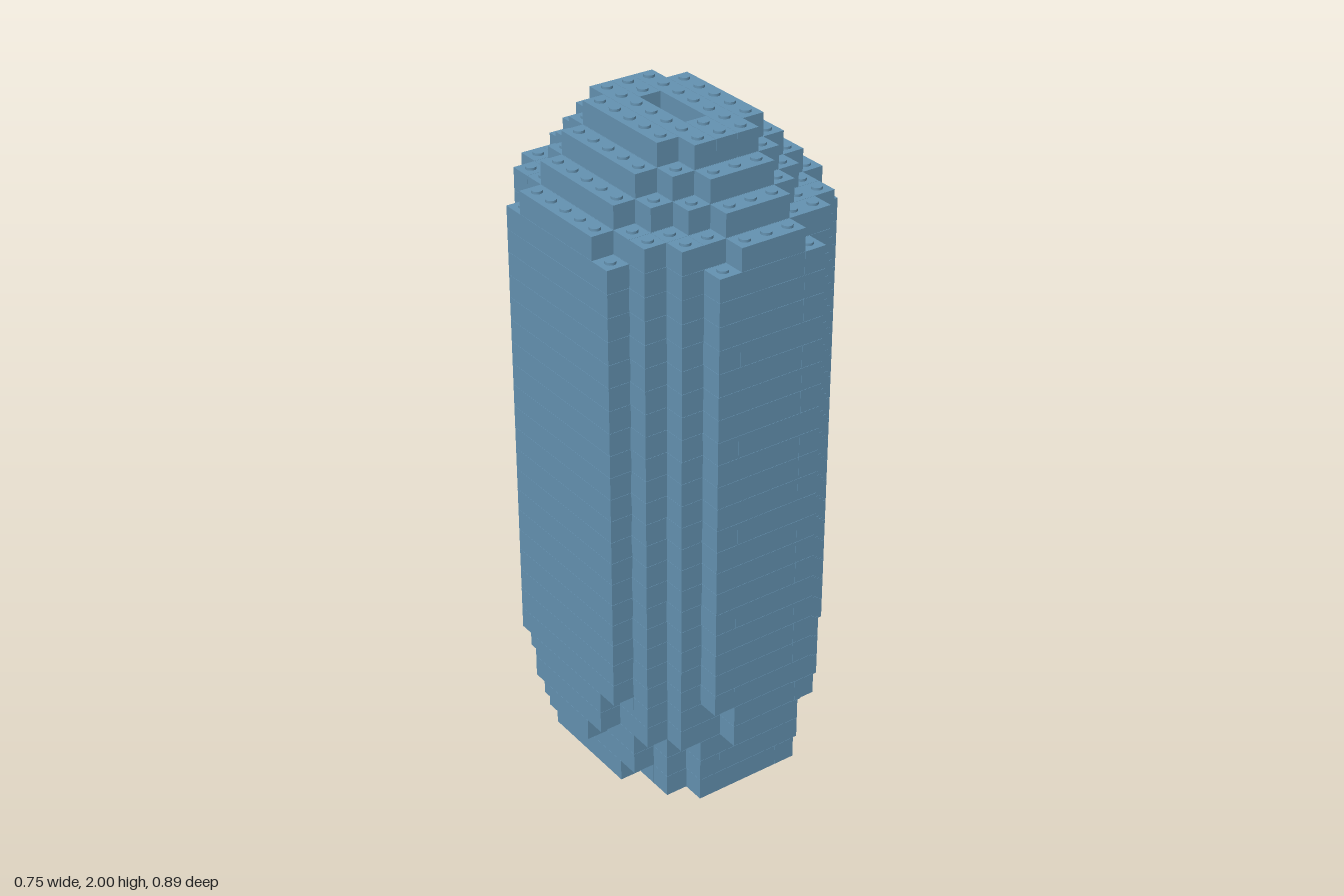
import * as THREE from 'three';
import { mergeGeometries } from 'three/addons/utils/BufferGeometryUtils.js';

const P = 0.0682, H = 0.0687, GAP = 0.0008, LAYERS = 29;

// Half-width in cells of each layer, indexed by the row's distance from the middle
const FULL = [5, 5, 5, 5, 4, 3, 2];
const SHOULDER = [5, 5, 5, 4, 4, 3, 1];
const SPECIAL = {
  0: [4, 4, 4, 3, 3, 2],
  1: [4, 4, 4, 4, 3, 2],
  2: [5, 5, 4, 4, 3, 2],
  3: SHOULDER,
  4: SHOULDER,
  25: SHOULDER,
  26: [4, 4, 4, 3, 2, 1],
  27: [3, 3, 3, 2, 1],
  28: [2, 2, 2, 1],
};

function solid(layer, x, z) {
  if (layer >= LAYERS) return false;
  if (layer === LAYERS - 1 && x === 0 && Math.abs(z) <= 1) return false; // slot in the top
  const w = (SPECIAL[layer] || FULL)[Math.abs(z)];
  return w !== undefined && Math.abs(x) <= w;
}

// One brick covering an inclusive range of cells
function brick(layer, x0, x1, z0, z1) {
  const g = new THREE.BoxGeometry((x1 - x0 + 1) * P - GAP, H - GAP, (z1 - z0 + 1) * P - GAP);
  return g.translate((x0 + x1) / 2 * P, (layer + 0.5) * H, (z0 + z1) / 2 * P);
}

function stud(layer, x, z) {
  const g = new THREE.CylinderGeometry(0.016, 0.016, 0.009, 16);
  return g.translate(x * P, (layer + 1) * H + 0.0025, z * P);
}

// Consecutive filled cells from -n to n as [start, end] pairs
function runs(n, filled) {
  const out = [];
  let start = null;
  for (let i = -n; i <= n + 1; i++) {
    const on = i <= n && filled(i);
    if (on && start === null) start = i;
    if (!on && start !== null) {
      out.push([start, i - 1]);
      start = null;
    }
  }
  return out;
}

export function createModel() {
  const blue = new THREE.MeshStandardMaterial({ color: 0x6492b1 });
  blue.name = 'dusty blue';
  const model = new THREE.Group();
  model.name = 'brickTower';

  for (let layer = 0; layer < LAYERS; layer++) {
    const bricks = [], studs = [];

    // Middle: bricks running front to back
    for (let x = -5; x <= 5; x++) {
      for (const [a, b] of runs(3, z => solid(layer, x, z))) bricks.push(brick(layer, x, x, a, b));
    }
    // Front and back rows: bricks running across, with staggered joints
    for (const z of [-6, -5, -4, 4, 5, 6]) {
      for (const [a, b] of runs(5, x => solid(layer, x, z))) {
        if (b - a < 4) bricks.push(brick(layer, a, b, z, z));
        else {
          const cut = layer % 4 === 1 ? a : b - 1;
          bricks.push(brick(layer, a, cut, z, z), brick(layer, cut + 1, b, z, z));
        }
      }
    }
    // Studs on uncovered cells
    for (let x = -5; x <= 5; x++) {
      for (let z = -6; z <= 6; z++) {
        if (solid(layer, x, z) && !solid(layer + 1, x, z)) studs.push(stud(layer, x, z));
      }
    }

    const course = new THREE.Mesh(mergeGeometries(bricks), blue);
    course.name = `brickLayer${layer + 1}`;
    model.add(course);
    if (studs.length) {
      const mesh = new THREE.Mesh(mergeGeometries(studs), blue);
      mesh.name = `studs${layer + 1}`;
      model.add(mesh);
    }
  }
  return model;
}
